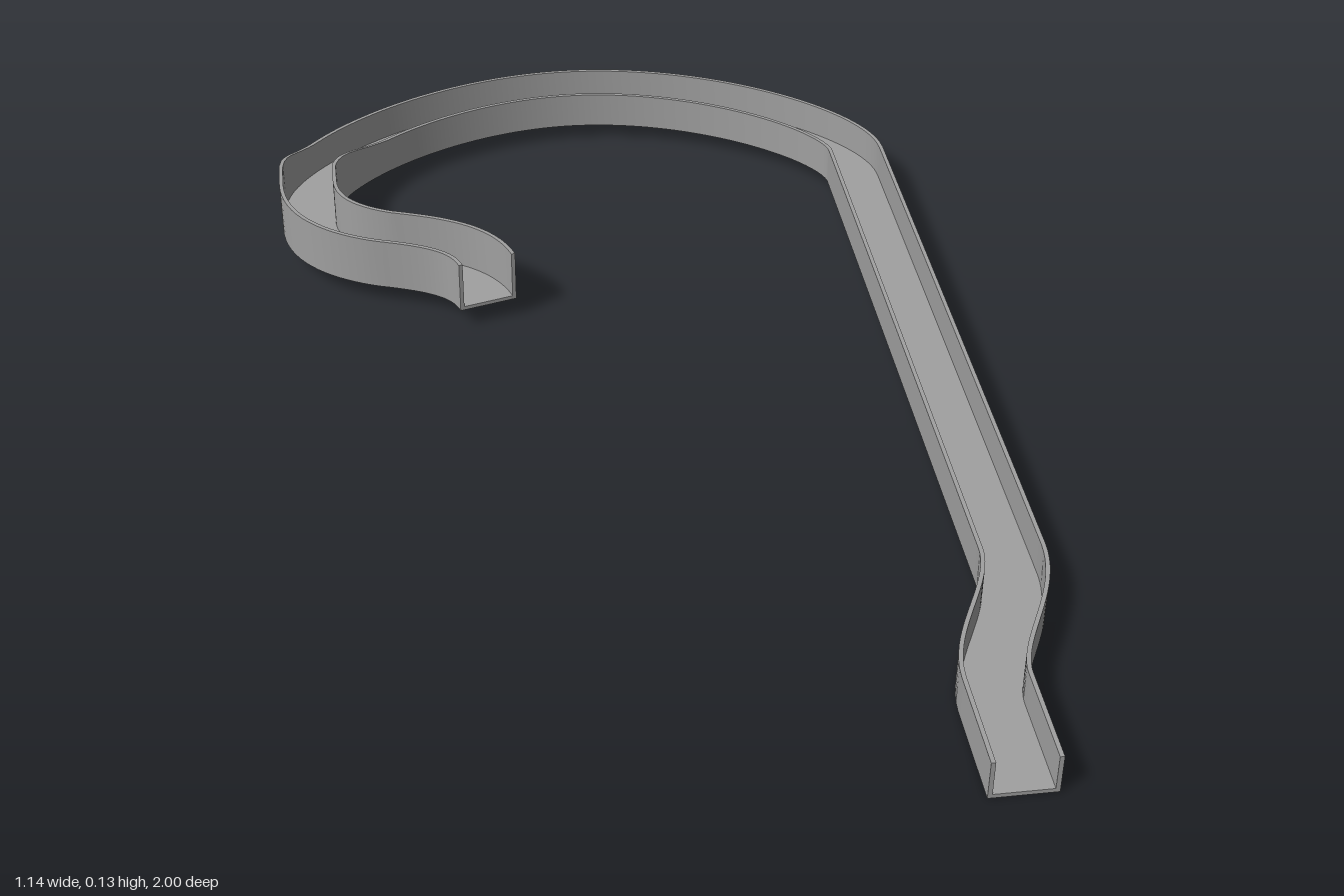
import * as THREE from 'three';

const STEPS = 260, HALF = 0.0525, WALL = 0.007;
const V = (x, z) => new THREE.Vector2(x, z);

// Plan of the centre line, as (x, z)
function centreLine() {
  const path = new THREE.CurvePath();
  const line = (a, b) => path.add(new THREE.LineCurve(a, b));
  const bend = (a, b, c, d) => path.add(new THREE.CubicBezierCurve(a, b, c, d));
  line(V(0.4275, 1), V(0.4275, 0.83));
  bend(V(0.4275, 0.83), V(0.4275, 0.74), V(0.52, 0.65), V(0.52, 0.55));
  line(V(0.52, 0.55), V(0.52, -0.63));
  bend(V(0.52, -0.63), V(0.52, -0.74), V(0.27, -0.9475), V(0, -0.9475));
  bend(V(0, -0.9475), V(-0.27, -0.9475), V(-0.52, -0.74), V(-0.52, -0.63));
  line(V(-0.52, -0.63), V(-0.52, -0.58));
  bend(V(-0.52, -0.58), V(-0.52, -0.49), V(-0.46, -0.44), V(-0.39, -0.41));
  bend(V(-0.39, -0.41), V(-0.3, -0.38), V(-0.235, -0.35), V(-0.215, -0.275));
  path.arcLengthDivisions = 1000;
  return path;
}

// U section: [side offset, floor-relative height, is the wall top]
const IN = HALF - WALL;
const SECTION = [
  [-HALF, 0], [HALF, 0], [HALF, 0, true], [IN, 0, true],
  [IN, WALL], [-IN, WALL], [-IN, 0, true], [-HALF, 0, true],
];

function ringAt(path, t) {
  const p = path.getPointAt(t), d = path.getTangentAt(t);
  // The floor climbs gently, then levels out at the hook
  const y = 0.036 * (1 - Math.pow(1 - Math.min(t / 0.86, 1), 1.6));
  return SECTION.map(([a, b, top]) => {
    const x = p.x - d.y * a, z = p.y + d.x * a;
    // Walls step up on the hooked end
    const raise = x < 0 ? 0.027 * THREE.MathUtils.smoothstep(z, -0.77, -0.65) : 0;
    return [x, y + (top ? 0.068 + raise : b), z];
  });
}

function channelGeometry() {
  const path = centreLine(), rings = [];
  for (let i = 0; i <= STEPS; i++) rings.push(ringAt(path, i / STEPS));
  const pos = [], index = [];

  // One smooth strip per section edge, so the long edges stay sharp
  for (let j = 0; j < 8; j++) {
    const base = pos.length / 3;
    rings.forEach((r) => pos.push(...r[j], ...r[(j + 1) % 8]));
    for (let i = 0; i < STEPS; i++) {
      const k = base + 2 * i;
      index.push(k, k + 2, k + 1, k + 1, k + 2, k + 3);
    }
  }

  // End faces
  for (const [ring, flip] of [[rings[0], false], [rings[STEPS], true]]) {
    for (const quad of [[0, 1, 4, 5], [1, 2, 3, 4], [0, 5, 6, 7]]) {
      const k = pos.length / 3;
      (flip ? quad.reverse() : quad).forEach((q) => pos.push(...ring[q]));
      index.push(k, k + 1, k + 2, k, k + 2, k + 3);
    }
  }

  const geo = new THREE.BufferGeometry();
  geo.setAttribute('position', new THREE.Float32BufferAttribute(pos, 3));
  geo.setIndex(index);
  geo.computeVertexNormals();
  return geo;
}

export function createModel() {
  const group = new THREE.Group();
  group.name = 'curvedChannel';
  const grey = new THREE.MeshStandardMaterial({ color: 0xa0a0a0 });
  grey.name = 'grey';
  const channel = new THREE.Mesh(channelGeometry(), grey);
  channel.name = 'channel';
  group.add(channel);
  return group;
}
